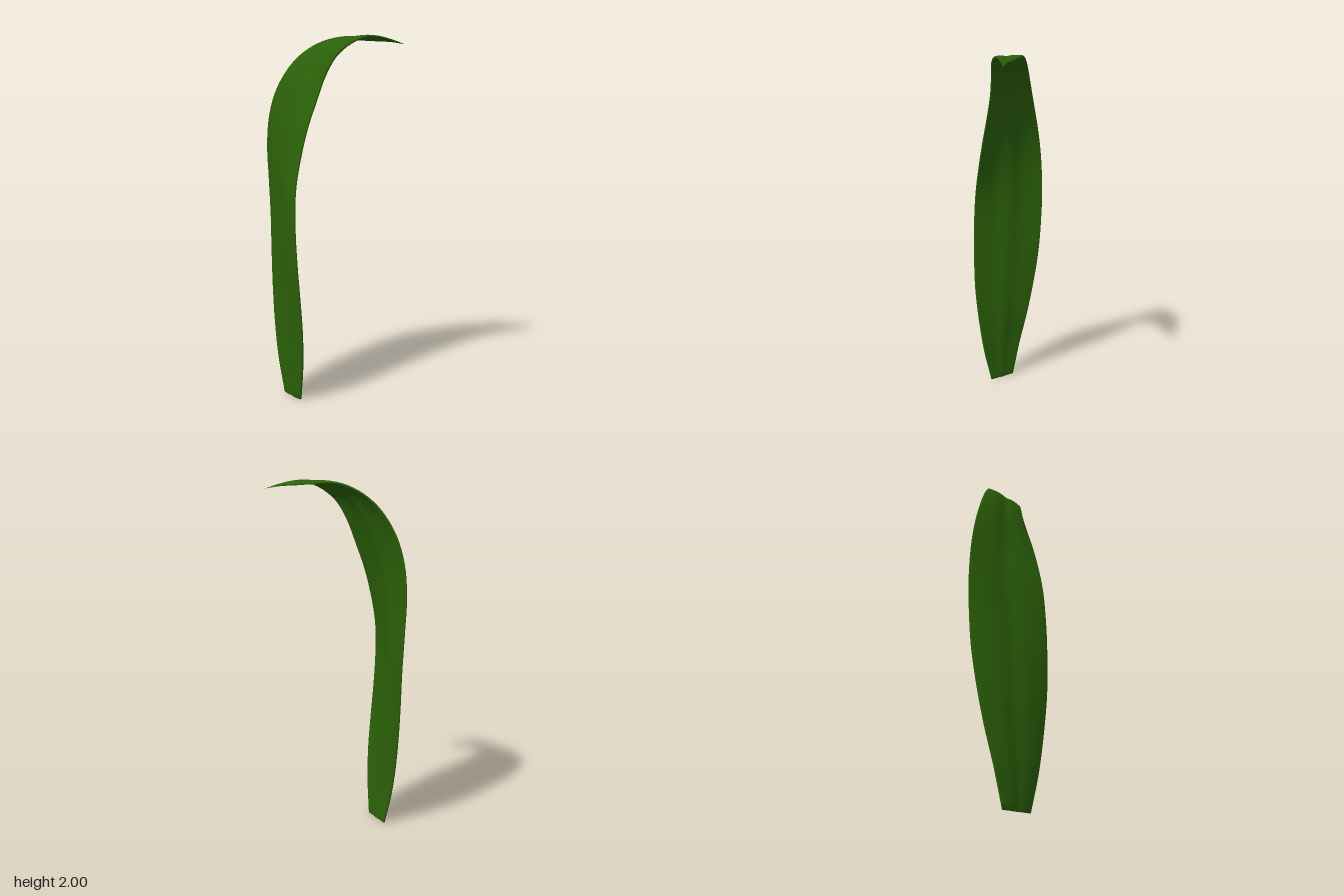
import * as THREE from 'three';
import { mergeVertices } from 'three/addons/utils/BufferGeometryUtils.js';

const curve = (pts) => new THREE.CatmullRomCurve3(pts.map((p) => new THREE.Vector3(...p)));

// The two margins of the blade, paired station by station from base to tip
const backEdge = curve([
  [-0.305, 0, -0.02], [-0.333, 0.2, -0.065], [-0.345, 0.4, -0.115], [-0.349, 0.6, -0.155],
  [-0.349, 0.8, -0.185], [-0.349, 1.0, -0.2], [-0.356, 1.21, -0.205], [-0.364, 1.42, -0.193],
  [-0.35, 1.59, -0.168], [-0.309, 1.73, -0.138], [-0.237, 1.85, -0.11], [-0.16, 1.925, -0.09],
  [-0.07, 1.976, -0.07], [0.02, 1.998, -0.05], [0.12, 1.992, -0.02], [0.2, 1.981, 0.015],
  [0.29, 1.969, 0.055], [0.362, 1.954, 0.078],
]);
const frontEdge = curve([
  [-0.22, 0, 0.11], [-0.215, 0.2, 0.155], [-0.22, 0.4, 0.185], [-0.235, 0.6, 0.205],
  [-0.25, 0.8, 0.21], [-0.258, 1.0, 0.207], [-0.25, 1.2, 0.195], [-0.212, 1.39, 0.17],
  [-0.175, 1.52, 0.149], [-0.13, 1.64, 0.128], [-0.075, 1.78, 0.109], [-0.02, 1.875, 0.107],
  [0.035, 1.927, 0.111], [0.09, 1.96, 0.112], [0.15, 1.98, 0.107], [0.21, 1.985, 0.097],
  [0.29, 1.974, 0.085], [0.362, 1.954, 0.078],
]);

// Cross-section height: two shallow lobes with a soft groove at the midrib
const section = (s) => 0.036 * (1 - s * s) - 0.031 * Math.exp(-((s / 0.27) ** 2));

export function createModel() {
  const group = new THREE.Group();
  group.name = 'leaf';

  // A capped tube flattened into a thin blade: its x runs between the margins, its z is the thickness
  const geometry = new THREE.CylinderGeometry(1, 1, 1, 64, 100);
  const pos = geometry.attributes.position;
  const normal = new THREE.Vector3();
  for (let i = 0; i < pos.count; i++) {
    const s = pos.getX(i);
    const z = pos.getZ(i);
    const t = THREE.MathUtils.clamp(pos.getY(i) + 0.5, 0, 1);
    const back = backEdge.getPoint(t);
    const front = frontEdge.getPoint(t);
    const across = front.clone().sub(back);
    const along = backEdge.getTangent(t).add(frontEdge.getTangent(t));
    const width = across.length();
    normal.crossVectors(across, along).normalize();

    // Full thickness with rounded margins, thinning out towards the tip
    const thickness = 0.018 * Math.min(1, width / 0.13);
    const side = Math.sign(z) * Math.abs(z) ** 0.4;
    const height = section(s) * width + 0.5 * thickness * (s + side);
    const p = back.lerp(front, (s + 1) / 2).addScaledVector(normal, height);
    pos.setXYZ(i, p.x, Math.max(p.y, 0), p.z);
  }
  geometry.deleteAttribute('uv');
  geometry.deleteAttribute('normal');
  const smooth = mergeVertices(geometry, 1e-5);
  smooth.computeVertexNormals();

  const blade = new THREE.Mesh(smooth, new THREE.MeshStandardMaterial({ color: 0x2b6008 }));
  blade.name = 'leafBlade';
  group.add(blade);
  return group;
}
